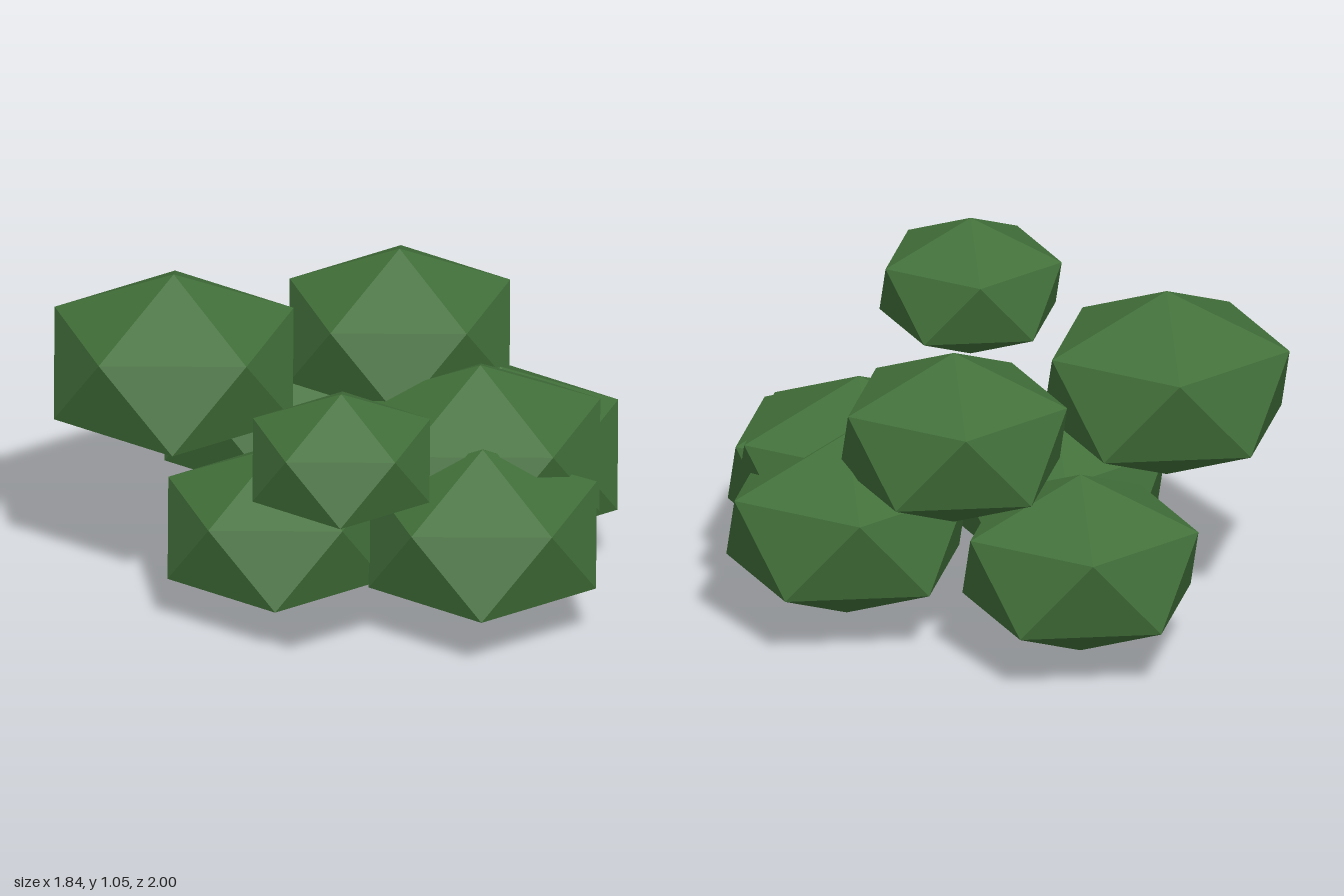
import * as THREE from 'three';

// Unit icosahedron standing on a vertex: two poles and two staggered rings of five
function poleIcosahedron() {
  const verts = [0, 1, 0, 0, -1, 0];
  const faces = [];
  const h = 1 / Math.sqrt(5), r = 2 / Math.sqrt(5);
  for (let i = 0; i < 5; i++) {
    const a = (i * 2 * Math.PI) / 5, b = a + Math.PI / 5;
    verts.push(r * Math.cos(a), h, r * Math.sin(a));
    verts.push(r * Math.cos(b), -h, r * Math.sin(b));
    const j = (i + 1) % 5;
    const u0 = 2 + 2 * i, l0 = u0 + 1, u1 = 2 + 2 * j, l1 = u1 + 1;
    faces.push(0, u1, u0, u0, u1, l0, l1, l0, u1, 1, l0, l1);
  }
  return new THREE.PolyhedronGeometry(verts, faces, 1, 0);
}

export function createModel() {
  const group = new THREE.Group();
  group.name = 'bush';
  const leafGreen = new THREE.MeshStandardMaterial({ color: 0x42703a, flatShading: true });
  leafGreen.name = 'leafGreen';
  const geometry = poleIcosahedron();

  // Leaf clumps: name, centre x, y, z, radius
  const clumps = [
    ['upperRightClump', -0.52, 0.733, -0.23, 0.452],
    ['upperFrontClump', -0.25, 0.772, 0.713, 0.335],
    ['upperBackClump', 0.268, 0.701, -0.315, 0.417],
    ['middleClump', 0.396, 0.451, 0.147, 0.452],
    ['lowerLeftClump', 0.524, 0.349, -0.044, 0.443],
    ['lowerFrontClump', 0.305, 0.32, 0.463, 0.43],
    ['lowerRightClump', -0.295, 0.289, 0.157, 0.41],
    ['lowerBackClump', -0.037, 0.333, -0.631, 0.434],
  ];
  for (const [name, x, y, z, r] of clumps) {
    const clump = new THREE.Mesh(geometry, leafGreen);
    clump.name = name;
    clump.position.set(x, y, z);
    clump.scale.set(r, r * 0.7, r); // slightly flattened
    group.add(clump);
  }
  return group;
}
